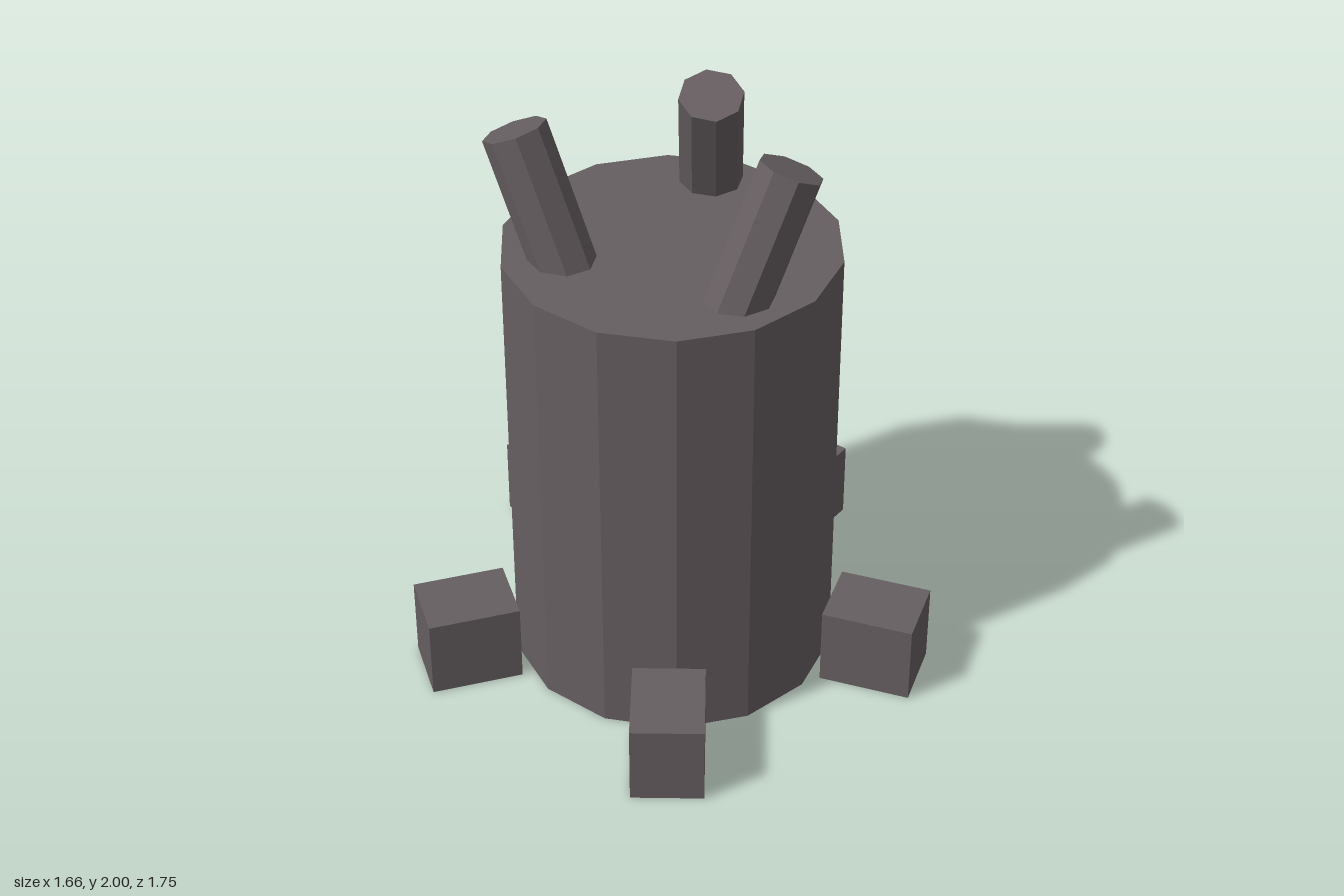
import * as THREE from 'three';

export function createModel() {
  const model = new THREE.Group();
  const iron = new THREE.MeshStandardMaterial({ color: 0x665e61, flatShading: true });
  iron.name = 'dark iron';
  const centreX = -0.05;
  const up = new THREE.Vector3(0, 1, 0);

  const add = (name, geometry, parent = model) => {
    const mesh = new THREE.Mesh(geometry, iron);
    mesh.name = name;
    parent.add(mesh);
    return mesh;
  };

  // Fourteen-sided main drum
  add('drum', new THREE.CylinderGeometry(0.55, 0.55, 1.555, 14))
    .position.set(centreX, 1.555 / 2, 0);

  // Five blocks spaced evenly around the base
  const blocks = new THREE.Group();
  blocks.name = 'baseBlocks';
  blocks.position.x = centreX;
  model.add(blocks);
  const blockGeometry = new THREE.BoxGeometry(0.31, 0.28, 0.24);
  for (let i = 0; i < 5; i++) {
    const angle = (i * Math.PI * 2) / 5;
    const block = add('baseBlock' + (i + 1), blockGeometry, blocks);
    block.position.set(0.725 * Math.cos(angle), 0.14, -0.725 * Math.sin(angle));
    block.rotation.y = angle;
  }

  // Leaning pipes: centre of the top cap, and x/z lean per unit of height
  const pipeLength = 0.69;
  const pipeGeometry = new THREE.CylinderGeometry(0.105, 0.105, pipeLength, 8);
  const pipes = [
    { name: 'backPipe', top: [-0.333, 1.96, -0.392], lean: [-0.02, -0.415] },
    { name: 'leftPipe', top: [0.205, 1.96, -0.037], lean: [-0.343, 0.247] },
    { name: 'frontPipe', top: [-0.015, 1.96, 0.425], lean: [0.39, 0.175] },
  ];
  for (const { name, top, lean } of pipes) {
    const axis = new THREE.Vector3(lean[0], 1, lean[1]).normalize();
    const pipe = add(name, pipeGeometry);
    pipe.position.set(...top).addScaledVector(axis, -pipeLength / 2);
    pipe.quaternion.setFromUnitVectors(up, axis);
  }

  return model;
}
